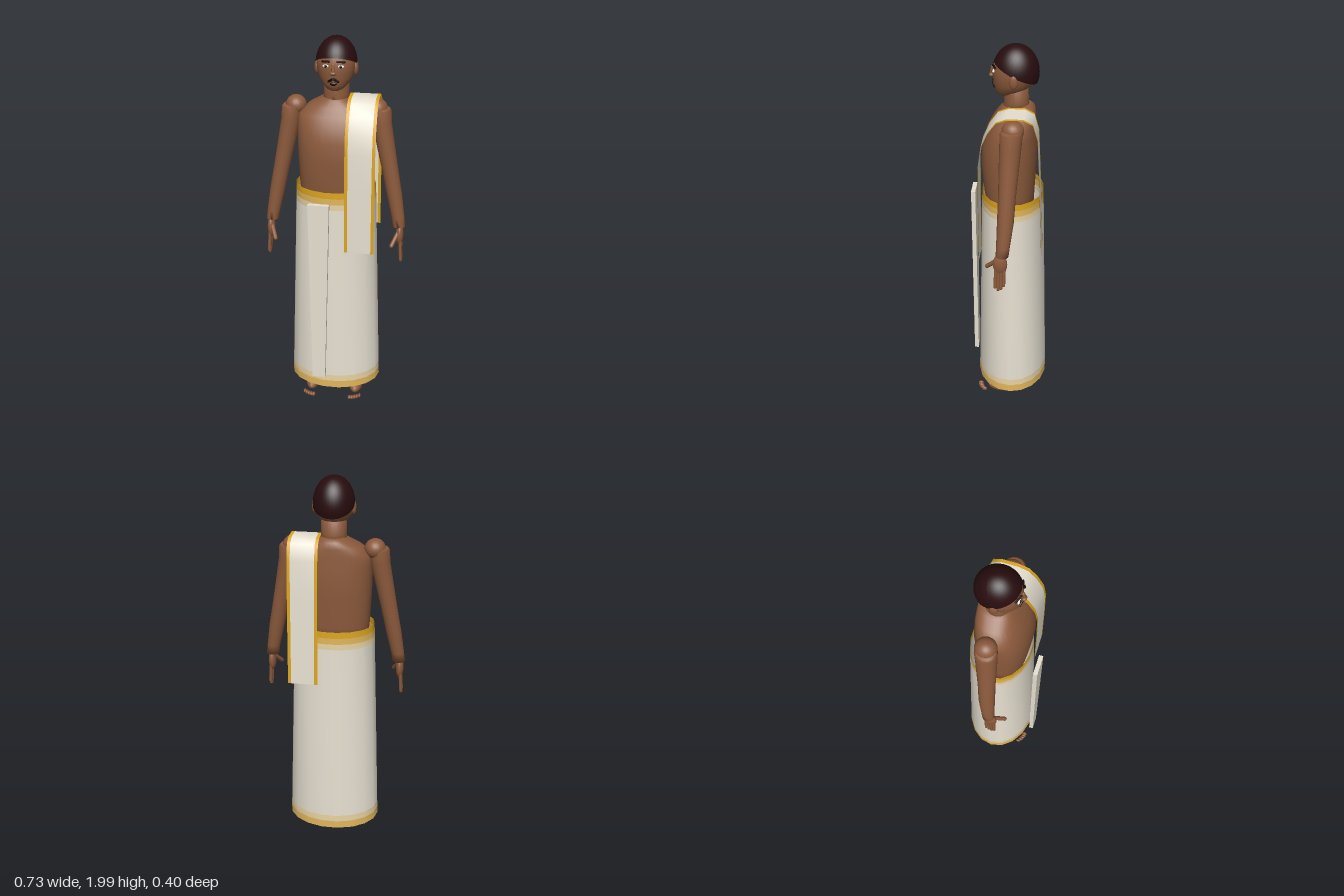
import * as THREE from 'three';

const mat = (name, color, double) => {
  const m = new THREE.MeshStandardMaterial({ color });
  m.name = name;
  if (double) m.side = THREE.DoubleSide;
  return m;
};

// Skin through elliptical rings [y, centreX, centreZ, radiusX, radiusZ], lowest first
function loft(rings, { seg = 24, power = 1, offset = 0, caps = true } = {}) {
  const pos = [], idx = [];
  const bend = v => Math.sign(v) * Math.abs(v) ** power;
  for (const [y, cx, cz, rx, rz] of rings) {
    for (let j = 0; j < seg; j++) {
      const a = ((j + offset) / seg) * Math.PI * 2;
      pos.push(cx + rx * bend(Math.sin(a)), y, cz + rz * bend(Math.cos(a)));
    }
  }
  for (let i = 0; i < rings.length - 1; i++) {
    for (let j = 0; j < seg; j++) {
      const a = i * seg + j, b = i * seg + (j + 1) % seg;
      idx.push(a, b, a + seg, b, b + seg, a + seg);
    }
  }
  if (caps) {
    const top = (rings.length - 1) * seg;
    for (let j = 1; j < seg - 1; j++) idx.push(0, j + 1, j, top, top + j, top + j + 1);
  }
  const g = new THREE.BufferGeometry();
  g.setAttribute('position', new THREE.Float32BufferAttribute(pos, 3));
  g.setIndex(idx);
  g.computeVertexNormals();
  return g;
}

// Sheet of cloth from x0 to x1 along a path of [z, y] points
function strip(path, x0, x1) {
  const pos = [], idx = [];
  path.forEach(([z, y], i) => {
    pos.push(x0, y, z, x1, y, z);
    const k = i * 2;
    if (i) idx.push(k - 2, k - 1, k, k - 1, k + 1, k);
  });
  const g = new THREE.BufferGeometry();
  g.setAttribute('position', new THREE.Float32BufferAttribute(pos, 3));
  g.setIndex(idx);
  g.computeVertexNormals();
  return g;
}

export function createModel() {
  const root = new THREE.Group();
  root.name = 'drapedMan';
  const skin = mat('skin', 0x8c5a3c);
  const hair = mat('hair', 0x280c0e, true);
  const cloth = mat('cloth', 0xeae3d4, true);
  const gold = mat('gold', 0xdaa520, true);
  const amber = mat('paleGold', 0xe0b55c, true);
  const cream = mat('cream', 0xe8d3a4, true);
  const white = mat('eyeWhite', 0xf2eee6);
  const black = mat('black', 0x140a08);

  const add = (name, geo, material, parent = root) => {
    const m = new THREE.Mesh(geo, material);
    m.name = name;
    parent.add(m);
    return m;
  };
  const ball = (name, p, s, material, parent) => {
    const m = add(name, new THREE.SphereGeometry(1, 20, 14), material, parent);
    m.position.set(...p);
    m.scale.set(...s);
    return m;
  };
  const limb = (name, p, q, r, material, parent) => {
    const a = new THREE.Vector3(...p), b = new THREE.Vector3(...q), d = b.clone().sub(a);
    const m = add(name, new THREE.CapsuleGeometry(r, d.length(), 4, 10), material, parent);
    m.position.copy(a).add(b).multiplyScalar(0.5);
    m.quaternion.setFromUnitVectors(new THREE.Vector3(0, 1, 0), d.normalize());
    return m;
  };

  // Torso and neck
  add('torso', loft([
    [1.1, 0, -0.005, 0.165, 0.115], [1.25, 0, 0, 0.18, 0.127], [1.4, 0, 0.002, 0.187, 0.138],
    [1.5, 0, -0.002, 0.19, 0.136], [1.57, 0, -0.01, 0.19, 0.123], [1.62, 0, -0.022, 0.183, 0.108],
    [1.66, 0, -0.034, 0.135, 0.094], [1.69, 0, -0.042, 0.075, 0.08], [1.705, 0, -0.042, 0.055, 0.06],
  ], { power: 0.85, seg: 32 }), skin);
  add('neck', loft([[1.66, 0, -0.035, 0.068, 0.07], [1.72, 0, -0.032, 0.063, 0.06],
    [1.82, 0, -0.03, 0.063, 0.06]]), skin);

  // Head and face
  const head = new THREE.Group();
  head.name = 'head';
  root.add(head);
  add('skull', loft([
    [1.745, 0, 0.015, 0.022, 0.03], [1.757, 0, 0.01, 0.045, 0.055], [1.78, 0, -0.005, 0.068, 0.077],
    [1.81, 0, -0.018, 0.086, 0.096], [1.85, 0, -0.025, 0.095, 0.107], [1.89, 0, -0.027, 0.097, 0.108],
    [1.93, 0, -0.029, 0.085, 0.094], [1.97, 0, -0.03, 0.055, 0.062], [1.985, 0, -0.03, 0.02, 0.02],
  ]), skin, head);
  const cap = new THREE.SphereGeometry(1, 32, 16, 0, Math.PI * 2, 0, Math.PI / 2);
  cap.rotateX(-0.39).scale(0.102, 0.135, 0.113).translate(0, 1.865, -0.03);
  cap.computeVertexNormals();
  add('hairCap', cap, hair, head);
  limb('noseBridge', [0, 1.885, 0.082], [0, 1.85, 0.089], 0.008, skin, head);
  ball('noseTip', [0, 1.845, 0.088], [0.016, 0.01, 0.012], skin, head);
  ball('mouth', [0, 1.79, 0.074], [0.017, 0.009, 0.007], black, head);
  for (const s of [-1, 1]) {
    ball('ear', [s * 0.096, 1.845, -0.025], [0.012, 0.035, 0.02], skin, head);
    ball('eye', [s * 0.036, 1.877, 0.074], [0.017, 0.008, 0.007], white, head);
    ball('pupil', [s * 0.036, 1.877, 0.078], [0.007, 0.007, 0.005], black, head);
    limb('eyebrow', [s * 0.02, 1.9, 0.078], [s * 0.054, 1.897, 0.064], 0.005, black, head);
    limb('moustache', [s * 0.003, 1.816, 0.08], [s * 0.023, 1.802, 0.074], 0.006, black, head);
  }

  // Arms, hands, legs and feet
  for (const s of [-1, 1]) {
    const side = s > 0 ? 'left' : 'right';
    const arm = new THREE.Group(), leg = new THREE.Group();
    arm.name = side + 'Arm';
    leg.name = side + 'Leg';
    root.add(arm, leg);
    ball('shoulder', [s * 0.203, 1.645, -0.03], [0.052, 0.05, 0.054], skin, arm);
    add('armSleeveOfSkin', loft([
      [1.03, s * 0.331, 0.012, 0.033, 0.032], [1.08, s * 0.324, 0.008, 0.034, 0.034],
      [1.2, s * 0.302, -0.002, 0.04, 0.041], [1.33, s * 0.277, -0.008, 0.042, 0.043],
      [1.45, s * 0.253, -0.014, 0.046, 0.048], [1.58, s * 0.228, -0.021, 0.05, 0.053],
      [1.64, s * 0.222, -0.024, 0.053, 0.055], [1.65, s * 0.22, -0.024, 0.045, 0.046],
    ], { seg: 16 }), skin, arm).name = 'arm';
    ball('palm', [s * 0.337, 0.985, 0.022], [0.02, 0.058, 0.036], skin, arm);
    for (let i = 0; i < 4; i++) {
      const z = 0.001 + i * 0.014, tip = [0.868, 0.85, 0.843, 0.856][i];
      limb('finger', [s * 0.342, 0.96, z], [s * 0.347, tip, z + 0.003], 0.0085, skin, arm);
    }
    limb('thumb', [s * 0.328, 1.0, 0.04], [s * 0.302, 0.95, 0.09], 0.011, skin, arm);

    add('leg', loft([
      [0.08, s * 0.115, -0.055, 0.032, 0.035], [0.35, s * 0.11, -0.04, 0.05, 0.055],
      [0.6, s * 0.1, -0.02, 0.05, 0.055], [1.15, s * 0.085, -0.01, 0.08, 0.09],
    ], { seg: 16 }), skin, leg);
    ball('heel', [s * 0.115, 0.062, -0.068], [0.034, 0.033, 0.036], skin, leg);
    ball('foot', [s * 0.12, 0.045, 0.022], [0.038, 0.036, 0.088], skin, leg);
    for (let i = 0; i < 5; i++) {
      ball('toe', [s * (0.1 + i * 0.013), 0.034, 0.153 - i * i * 0.0015],
        [0.01 - i * 0.0006, 0.011, 0.014], skin, leg);
    }
  }

  // Wrapped skirt, made of stacked colour bands
  const skirtRing = y => {
    const t = (y - 0.1) / 1.145;
    return [y, 0, -0.017, 0.242 - 0.036 * t, 0.185 - 0.029 * t];
  };
  const bands = [
    [0.1, 0.14, amber, 'lowerHem'], [0.14, 0.175, cream, 'lowerTrim'], [0.175, 1.15, cloth, 'skirt'],
    [1.15, 1.18, cream, 'waistTrim'], [1.18, 1.212, amber, 'waistBand'], [1.212, 1.245, gold, 'waistEdge'],
  ];
  for (const [y0, y1, m, name] of bands) {
    add(name, loft([skirtRing(y0), skirtRing(y1)], { seg: 18, offset: 0.5, caps: false }), m);
  }

  // Hanging front pleat
  const pleat = new THREE.Shape([[-0.095, 0.185], [-0.027, 0.185], [-0.004, 1.2], [-0.112, 1.2]]
    .map(p => new THREE.Vector2(...p)));
  add('frontPleat', new THREE.ExtrudeGeometry(pleat, { depth: 0.022, bevelEnabled: false })
    .translate(0, 0, 0.178), cloth);

  // Shoulder cloth with gold borders
  const path = [[0.14, 0.92], [0.141, 1.25], [0.139, 1.45], [0.125, 1.55], [0.09, 1.63], [0.05, 1.685],
    [0, 1.703], [-0.08, 1.703], [-0.125, 1.68], [-0.148, 1.6], [-0.158, 1.4], [-0.175, 0.95]];
  add('shoulderCloth', strip(path, 0.08, 0.2), cloth);
  add('innerBorder', strip(path, 0.064, 0.08), gold);
  add('outerBorder', strip(path, 0.2, 0.216), gold);
  return root;
}
